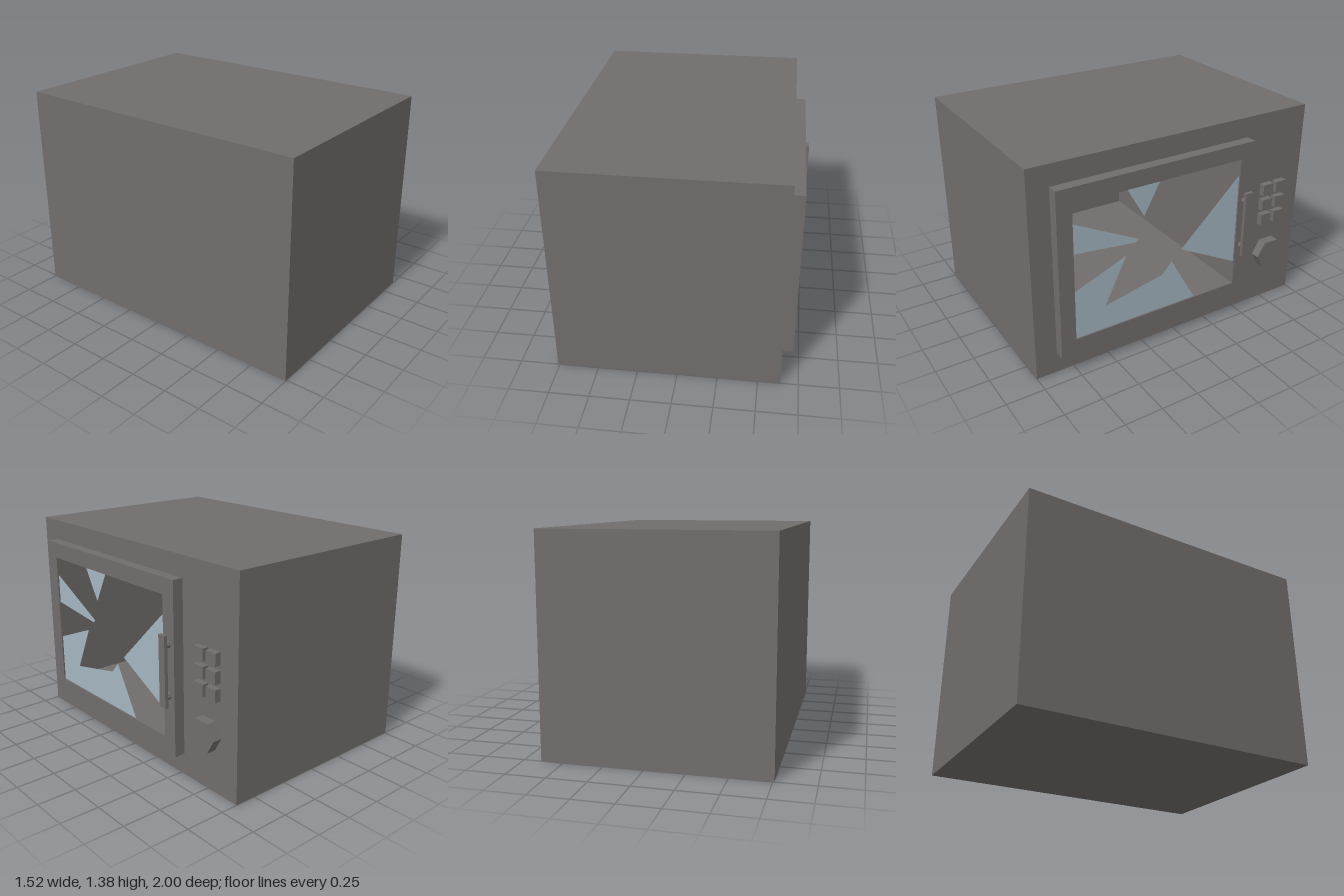
import * as THREE from 'three';

export function createModel() {
  const model = new THREE.Group();
  const casing = new THREE.MeshStandardMaterial({ color: 0x716d6c, name: 'casing grey' });
  const glass = new THREE.MeshStandardMaterial({ color: 0xa5b6c1, name: 'pale glass', side: THREE.DoubleSide });
  casing.flatShading = true;

  function add(name, geometry, material, x = 0, y = 0, z = 0, parent = model) {
    const mesh = new THREE.Mesh(geometry, material);
    mesh.name = name;
    mesh.position.set(x, y, z);
    parent.add(mesh);
    return mesh;
  }
  // box given by its limits on each axis
  function box(name, [x0, x1], [y0, y1], [z0, z1], parent) {
    return add(name, new THREE.BoxGeometry(x1 - x0, y1 - y0, z1 - z0), casing,
      (x0 + x1) / 2, (y0 + y1) / 2, (z0 + z1) / 2, parent);
  }
  // points are [z, y]; the outline lies in the plane facing +x
  const outline = (points) => points.map(([z, y]) => new THREE.Vector2(-z, y));
  const rect = (z0, z1, y0, y1) => outline([[z1, y0], [z0, y0], [z0, y1], [z1, y1]]);
  function slab(points, hole, x0, x1) {
    const shape = new THREE.Shape(points);
    if (hole) shape.holes.push(new THREE.Path(hole));
    return new THREE.ExtrudeGeometry(shape, { depth: x1 - x0, bevelEnabled: false })
      .rotateY(Math.PI / 2).translate(x0, 0, 0);
  }

  // hollow casing, open through the door window
  const opening = rect(-0.43, 0.76, 0.245, 1.145);
  add('body', slab(rect(-1, 1, 0, 1.385), opening, -0.75, 0.64), casing);
  box('backPanel', [-0.76, -0.75], [0, 1.385], [-1, 1]);
  add('doorFrame', slab(rect(-0.53, 0.86, 0.14, 1.25), opening, 0.64, 0.71), casing);

  // broken glass left in the frame
  const shards = [
    [[0.40, 1.145], [0.17, 1.145], [0.28, 0.94]],
    [[0.76, 1.02], [0.32, 0.80], [0.335, 0.78], [0.76, 0.825]],
    [[0.76, 0.57], [0.405, 0.71], [0.55, 0.405], [0.14, 0.49], [0.07, 0.565], [-0.115, 0.245], [0.76, 0.245]],
    [[-0.43, 1.035], [0, 0.63], [-0.43, 0.41]],
  ];
  const window = new THREE.Group();
  window.name = 'brokenWindow';
  model.add(window);
  for (const points of shards) {
    const geometry = new THREE.ShapeGeometry(new THREE.Shape(outline(points))).rotateY(Math.PI / 2);
    add('glassShard', geometry, glass, 0.70, 0, 0, window);
  }

  // handle bar on two short posts
  const handle = new THREE.Group();
  handle.name = 'handle';
  model.add(handle);
  box('handleBar', [0.738, 0.76], [0.465, 0.922], [-0.505, -0.45], handle);
  for (const y of [0.53, 0.855]) {
    const post = new THREE.CylinderGeometry(0.024, 0.024, 0.04, 8).rotateZ(-Math.PI / 2);
    add('handlePost', post, casing, 0.725, y, -0.478, handle);
  }

  // two columns of three buttons
  const buttons = new THREE.Group();
  buttons.name = 'buttons';
  model.add(buttons);
  for (const z of [-0.71, -0.817])
    for (const y of [0.64, 0.748, 0.857])
      box('button', [0.64, 0.68], [y - 0.039, y + 0.039], [z - 0.04, z + 0.04], buttons);

  // six-sided dial
  const dial = new THREE.CylinderGeometry(0.108, 0.108, 0.06, 6).rotateZ(-Math.PI / 2);
  add('dial', dial, casing, 0.67, 0.37, -0.758);

  return model;
}
